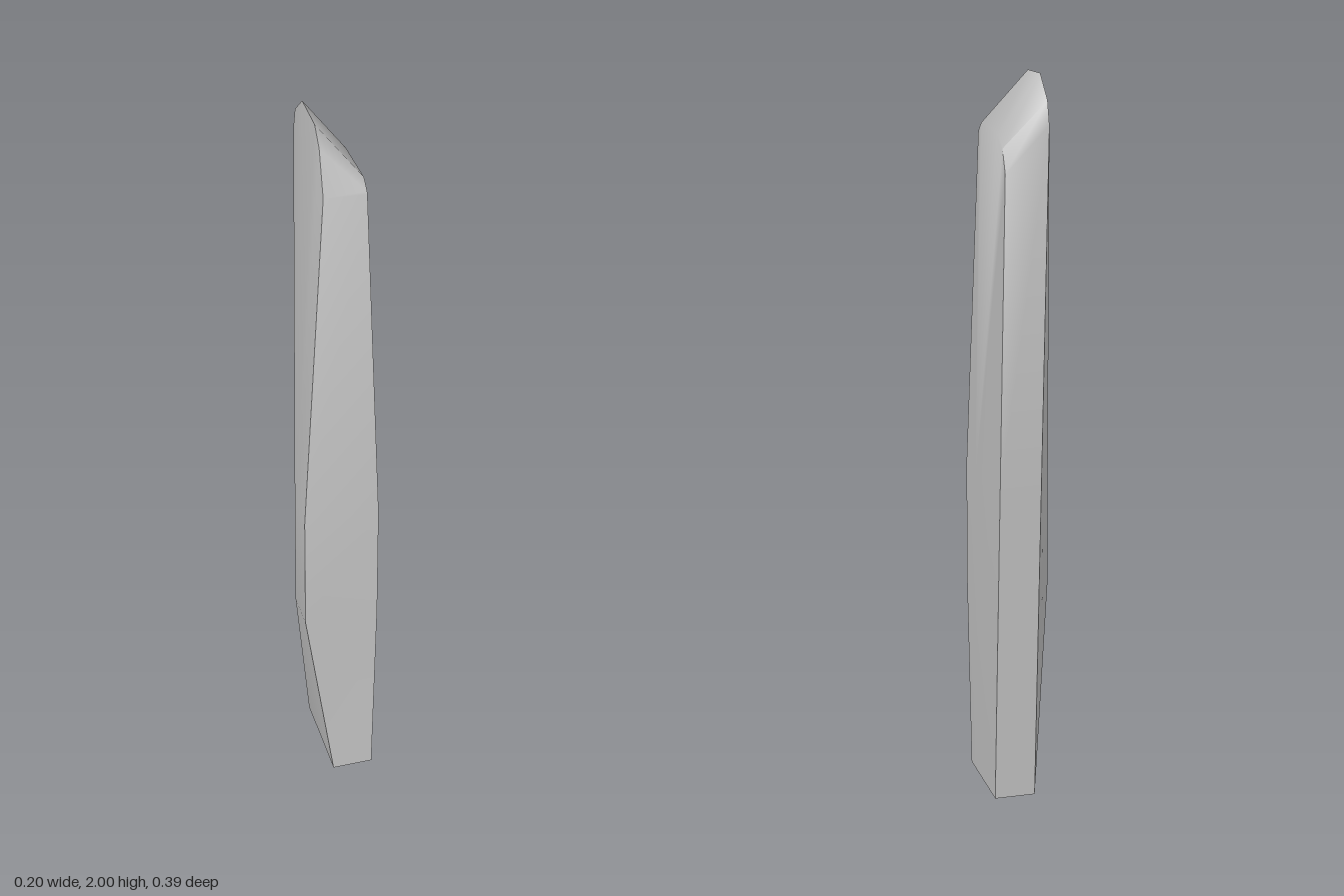
import * as THREE from 'three';
import { toCreasedNormals } from 'three/addons/utils/BufferGeometryUtils.js';

const X0 = -0.025, X1 = 0.088; // narrow sides of the block

// One horizontal section: back, middle and front points down one side and up the other
function section(y, back, mid, front, xl, xr) {
  return [[X0, y, back], [xl, y, mid], [xl, y, front], [xr, y, front], [xr, y, mid], [X1, y, back]];
}

function slabGeometry() {
  const pos = [];
  const tri = (a, b, c) => pos.push(...a, ...b, ...c);
  const quad = (a, b, c, d) => { tri(a, b, c); tri(a, c, d); };

  // Lower body, leaning back and swelling towards the front
  const rings = [
    section(0, -0.07, 0.12, 0.193, X0, X1),
    section(0.56, -0.107, 0.08, 0.182, -0.103, 0.101),
    section(0.9, -0.13, 0.08, 0.18, -0.103, 0.101),
  ];
  for (let r = 0; r < 2; r++) {
    for (let i = 0; i < 6; i++) {
      const j = (i + 1) % 6;
      quad(rings[r][i], rings[r][j], rings[r + 1][j], rings[r + 1][i]);
    }
  }

  // Foot
  const b = rings[0];
  for (let i = 1; i < 5; i++) tri(b[0], b[i + 1], b[i]);

  // Rounded tip outlines [z, y], front to back, high side and low side
  const [backL, midL, frontL, frontR, midR, backR] = rings[2];
  const high = [[0.083, 1.83], [0.047, 1.95], [0.006, 1.995], [-0.11, 2], [-0.178, 1.94], [-0.195, 1.88]];
  const low = [[0.084, 1.825], [0.081, 1.832], [0.052, 1.856], [-0.11, 1.85], [-0.16, 1.82], [-0.187, 1.76]];
  const L = [frontL, ...high.map(([z, y]) => [X0, y, z]), backL];
  const R = [frontR, ...low.map(([z, y]) => [X1, y, z]), backR];

  // Upper sides fan out to the tip; a strip closes front, slanted top and back
  for (let i = 0; i < L.length - 1; i++) {
    tri(midL, L[i], L[i + 1]);
    tri(midR, R[i + 1], R[i]);
    quad(L[i], R[i], R[i + 1], L[i + 1]);
  }

  const geo = new THREE.BufferGeometry();
  geo.setAttribute('position', new THREE.Float32BufferAttribute(pos, 3));
  return toCreasedNormals(geo, 0.85);
}

export function createModel() {
  const group = new THREE.Group();
  group.name = 'standingStone';
  const stone = new THREE.MeshStandardMaterial({ color: 0xc4c4c4 });
  stone.name = 'stone grey';
  const slab = new THREE.Mesh(slabGeometry(), stone);
  slab.name = 'slab';
  group.add(slab);
  return group;
}
